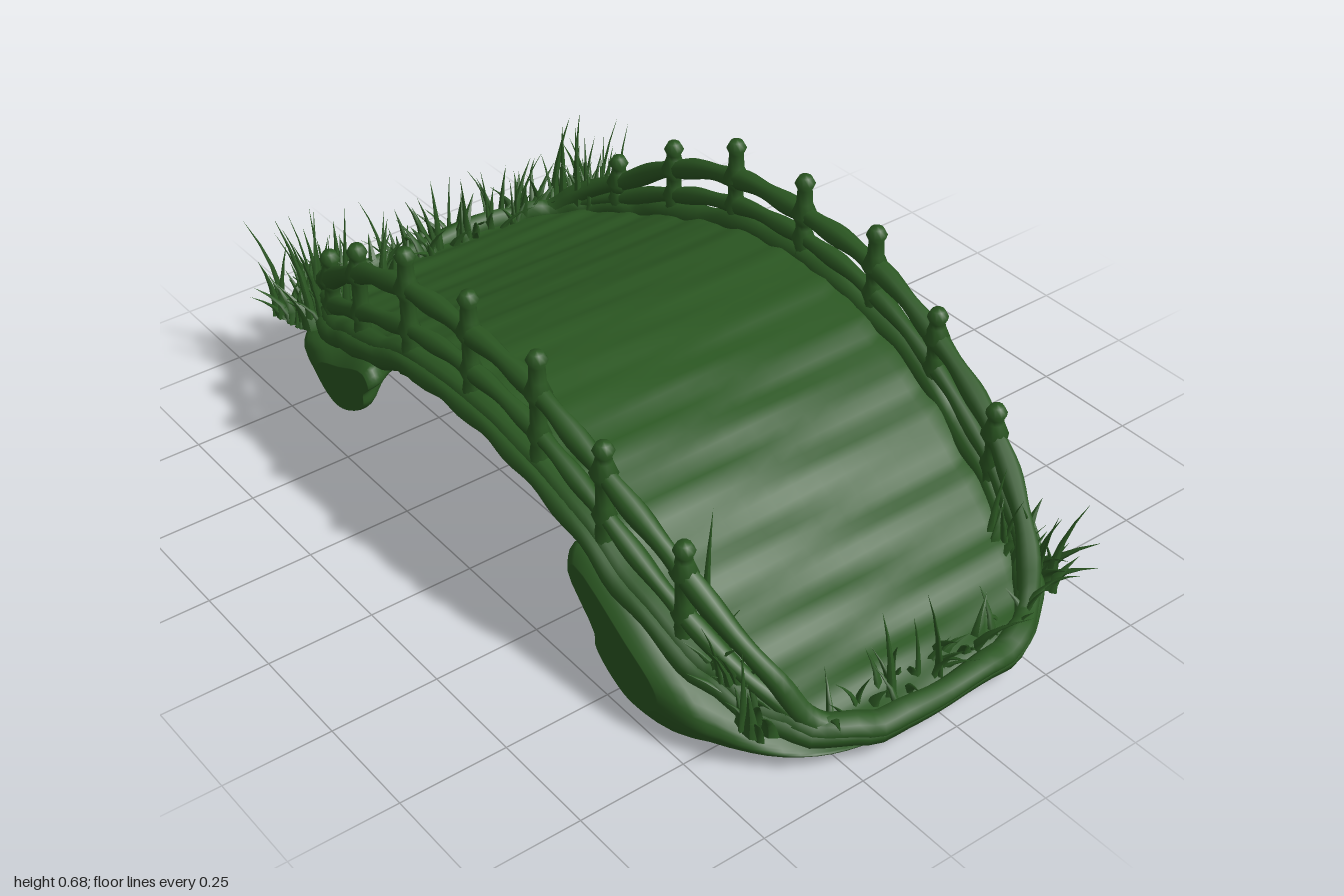
import * as THREE from 'three';
import { mergeGeometries } from 'three/addons/utils/BufferGeometryUtils.js';

const green = new THREE.MeshStandardMaterial({ color: 0x2b5722 });

// smooth height curves along x
const heightCurve = (xs, ys) => {
  const c = new THREE.CubicInterpolant(xs, ys, 1);
  return (x) => c.evaluate(THREE.MathUtils.clamp(x, xs[0], xs[xs.length - 1]))[0];
};
const deckY = heightCurve(
  [-0.92, -0.8, -0.6, -0.4, -0.2, 0, 0.2, 0.4, 0.6, 0.8, 0.96],
  [0.18, 0.21, 0.275, 0.35, 0.41, 0.43, 0.405, 0.335, 0.225, 0.13, 0.075]);
const railY = heightCurve(
  [-0.9, -0.8, -0.67, -0.49, -0.27, -0.03, 0.21, 0.42, 0.64, 0.8, 0.94],
  [0.21, 0.28, 0.37, 0.49, 0.57, 0.59, 0.575, 0.5, 0.38, 0.24, 0.11]);

// the back railing sits a little lower than the front one
const topRail = (x, s) => railY(x) - (s < 0 ? 0.055 * (1 - x ** 4) : 0);
const midRail = (x, s) => THREE.MathUtils.lerp(deckY(x), topRail(x, s), 0.41);

// rounded-rectangle plan, rounder at the +x end
const CX = 0.03, HX = 0.93, HZ = 0.45;
const power = (x) => (x > 0 ? 3.4 : 4);
const halfWidth = (x) => {
  const n = power(x - CX);
  return HZ * Math.max(0, 1 - Math.abs((x - CX) / HX) ** n) ** (1 / n);
};

let seed = 7;
const rnd = () => (seed = (seed * 16807) % 2147483647) / 2147483647;
const range = (a, b) => a + (b - a) * rnd();

function mesh(name, geometry, material = green) {
  const m = new THREE.Mesh(geometry, material);
  m.name = name;
  return m;
}

// closed skin over equal-length rings, with fan caps
function loft(rings, flip) {
  const n = rings[0].length, pos = [], idx = [];
  const tri = (a, b, c) => (flip ? idx.push(a, c, b) : idx.push(a, b, c));
  rings.forEach((r) => r.forEach((p) => pos.push(p.x, p.y, p.z)));
  for (let i = 0; i < rings.length - 1; i++) {
    for (let j = 0; j < n; j++) {
      const a = i * n + j, b = i * n + (j + 1) % n;
      tri(a, b, a + n);
      tri(b, b + n, a + n);
    }
  }
  [0, rings.length - 1].forEach((k) => {
    const c = rings[k].reduce((s, p) => s.add(p), new THREE.Vector3()).divideScalar(n);
    pos.push(c.x, c.y, c.z);
    const ci = pos.length / 3 - 1;
    for (let j = 0; j < n; j++) {
      const a = k * n + j, b = k * n + (j + 1) % n;
      k ? tri(a, b, ci) : tri(b, a, ci);
    }
  });
  const g = new THREE.BufferGeometry();
  g.setAttribute('position', new THREE.Float32BufferAttribute(pos, 3));
  g.setIndex(idx);
  g.computeVertexNormals();
  return g;
}

// arched deck with faint plank ripples
function deckGeometry() {
  const rings = [], N = 110, M = 14;
  for (let i = 0; i <= N; i++) {
    const x = CX - HX * Math.cos(Math.PI * (0.01 + 0.98 * i / N));
    const w = halfWidth(x), ring = [];
    for (let j = 0; j <= M; j++) {
      const z = w * (1 - 2 * j / M);
      const ripple = 0.003 * Math.sin(x * 45 + 2 * Math.sin(z * 5)) + 0.002 * Math.sin(x * 83 - 3 * z);
      ring.push(new THREE.Vector3(x, deckY(x) + ripple, z));
    }
    for (let j = M; j >= 0; j--) ring.push(new THREE.Vector3(x, ring[j].y - 0.03, ring[j].z));
    rings.push(ring);
  }
  return loft(rings, true);
}

// earth bank under one end: bulging sides, hollowed inner wall
function bankGeometry(s) {
  const rings = [], N = 44, n = power(s);
  const lip = s > 0 ? 0.11 : 0.02;
  for (let i = 0; i <= N; i++) {
    const z = -0.49 * Math.cos(Math.PI * i / N), t = Math.abs(z) / 0.49;
    const xi = (s > 0 ? 0.42 : 0.37) + 0.15 * (1 - t ** 3) + 0.012 * Math.sin(z * 21);
    const plan = s * CX + HX * (1 - (0.93 * t) ** n) ** (1 / n) + 0.01;
    const xo = Math.max(plan, xi + 0.32);
    const b = (s > 0 ? 0.015 : 0.115) - 0.012 * t * t;
    const top = (x) => deckY(s * x) - 0.035;
    const end = top(xo);
    const pts = [
      [xi - lip + 0.03, top(xi - lip + 0.03)], [xi - lip, top(xi - lip) - 0.05],
      [xi + 0.015, b + 0.14], [xi + 0.02, b + 0.095], [xi + 0.08, b + 0.04],
      [xi + 0.18, b], [xo - 0.07, b + 0.014], [xo - 0.01, (b + end) / 2 + 0.01], [xo - 0.03, end],
      [(xi + xo) / 2, top((xi + xo) / 2)],
    ].map(([x, y]) => new THREE.Vector3(s * x, y, z + 0.008));
    const ring = new THREE.CatmullRomCurve3(pts, true).getPoints(40).slice(0, -1);
    const mid = ring.reduce((a, p) => a.add(p), new THREE.Vector3()).divideScalar(40);
    const k = t > 0.9 ? 0.3 * ((t - 0.9) / 0.1) ** 2 : 0;
    ring.forEach((p) => p.lerp(mid, k));
    rings.push(ring);
  }
  return loft(rings, s < 0);
}

// slightly knobbly tube, like a branch
function branch(points, r, closed = false) {
  const curve = new THREE.CatmullRomCurve3(points, closed);
  const g = new THREE.TubeGeometry(curve, closed ? 180 : 90, r, 9, closed);
  const p = g.attributes.position, nrm = g.attributes.normal;
  for (let i = 0; i < p.count; i++) {
    const k = 0.14 * r * Math.sin(p.getX(i) * 38 + p.getZ(i) * 17);
    p.setXYZ(i, p.getX(i) + nrm.getX(i) * k, p.getY(i) + nrm.getY(i) * k, p.getZ(i) + nrm.getZ(i) * k);
  }
  return g;
}

// loop around the deck edge
function rimLoop(grow, drop, r) {
  const pts = [];
  for (let i = 0; i < 64; i++) {
    const a = i / 64 * Math.PI * 2, c = Math.cos(a), d = Math.sin(a), e = 2 / power(c);
    const x = CX + HX * Math.sign(c) * Math.abs(c) ** e;
    const z = HZ * grow * Math.sign(d) * Math.abs(d) ** e;
    pts.push(new THREE.Vector3(x, deckY(x) - drop + 0.006 * Math.sin(i * 2.3), z));
  }
  return branch(pts, r, true);
}

// rail along one side, both ends sinking into the rim
function railGeometry(height, side, r) {
  const pts = [];
  for (let i = 0; i <= 40; i++) {
    const x = -0.88 + 1.81 * i / 40;
    const sink = THREE.MathUtils.smoothstep(Math.abs(i / 20 - 1), 0.88, 1);
    const y = THREE.MathUtils.lerp(height(x, side), deckY(x) - 0.01, sink);
    pts.push(new THREE.Vector3(x, y, side * halfWidth(x)));
  }
  return branch(pts, r);
}

// post with a swelling at each rail and a small bulb on top
function postGeometry(h, mid, top) {
  const r = 0.018;
  const profile = [[0, 0], [0.032, 0], [0.024, 0.03], [r, mid - 0.025], [0.027, mid], [r, mid + 0.025],
    [r, top - 0.025], [0.031, top], [0.019, top + 0.03], [0.017, h - 0.035], [0.024, h - 0.02], [0.015, h - 0.003], [0, h]];
  return new THREE.LatheGeometry(profile.map(([x, y]) => new THREE.Vector2(x, y)), 10);
}

// tapering blade that bends towards (dx, dz)
function blade(x, z, h, r, dx, dz) {
  const g = new THREE.ConeGeometry(r, h, 5, 4);
  g.translate(0, h / 2, 0);
  g.scale(1, 1, 0.5);
  g.rotateY(range(0, Math.PI));
  const p = g.attributes.position, y0 = deckY(x) - 0.02;
  for (let i = 0; i < p.count; i++) {
    const t = p.getY(i) / h, b = t * t;
    const px = THREE.MathUtils.clamp(x + p.getX(i) + dx * b, -1, 0.995);
    p.setXYZ(i, px, y0 + p.getY(i), z + p.getZ(i) + dz * b);
  }
  g.computeVertexNormals();
  return g;
}

// clumps: centre x, z, spread x, z, count, tallest blade; two in three are short broad leaves
function grassGeometry(clumps, side) {
  const list = [];
  clumps.forEach(([cx, cz, sx, sz, count, tall]) => {
    for (let i = 0; i < count; i++) {
      const x = cx + range(-sx, sx), z = cz + range(-sz, sz), leaf = i % 3;
      const h = leaf ? range(0.05, 0.11) : tall * range(0.4, 1);
      const out = leaf ? range(-0.07, 0.09) : range(-0.02, 0.06);
      list.push(blade(x, z, h, leaf ? 0.022 : 0.014, side * out, Math.sign(z) * range(-0.05, 0.07)));
    }
  });
  list.push(blade(side * 0.66, 0.38, side < 0 ? 0.32 : 0.36, 0.016, 0.01, -0.01));
  return mergeGeometries(list);
}

export function createModel() {
  const model = new THREE.Group();
  model.name = 'archedBridge';
  model.add(mesh('deck', deckGeometry()));
  model.add(mesh('deckRim', rimLoop(1, 0, 0.028)));
  model.add(mesh('deckEdgeBeam', rimLoop(1.045, 0.012, 0.025)));
  model.add(mesh('rightBank', bankGeometry(-1)), mesh('leftBank', bankGeometry(1)));

  // railings
  for (const side of [1, -1]) {
    const railing = new THREE.Group();
    railing.name = side > 0 ? 'frontRailing' : 'backRailing';
    railing.add(mesh('topRail', railGeometry(topRail, side, 0.023)));
    railing.add(mesh('middleRail', railGeometry(midRail, side, 0.02)));
    for (const x of [-0.67, -0.49, -0.27, -0.03, 0.21, 0.42, 0.64]) {
      const base = deckY(x) - 0.03, top = topRail(x, side) - base;
      const h = top + (Math.abs(x) < 0.3 ? 0.1 : 0.075);
      const post = mesh('post', postGeometry(h, midRail(x, side) - base, top));
      post.position.set(x, base, side * halfWidth(x));
      railing.add(post);
    }
    model.add(railing);
  }

  // grass and leaves at both ends
  const grassMaterial = green.clone();
  grassMaterial.side = THREE.DoubleSide;
  model.add(mesh('rightGrass', grassGeometry([
    [-0.8, 0.4, 0.09, 0.05, 56, 0.29], [-0.8, -0.4, 0.09, 0.05, 56, 0.27],
    [-0.89, 0, 0.045, 0.36, 100, 0.2]], -1), grassMaterial));
  model.add(mesh('leftGrass', grassGeometry([
    [0.78, 0.38, 0.09, 0.03, 32, 0.2], [0.8, -0.37, 0.08, 0.04, 32, 0.2],
    [0.9, -0.04, 0.03, 0.15, 12, 0.26], [0.9, 0, 0.02, 0.28, 24, 0.08]], 1), grassMaterial));
  return model;
}
